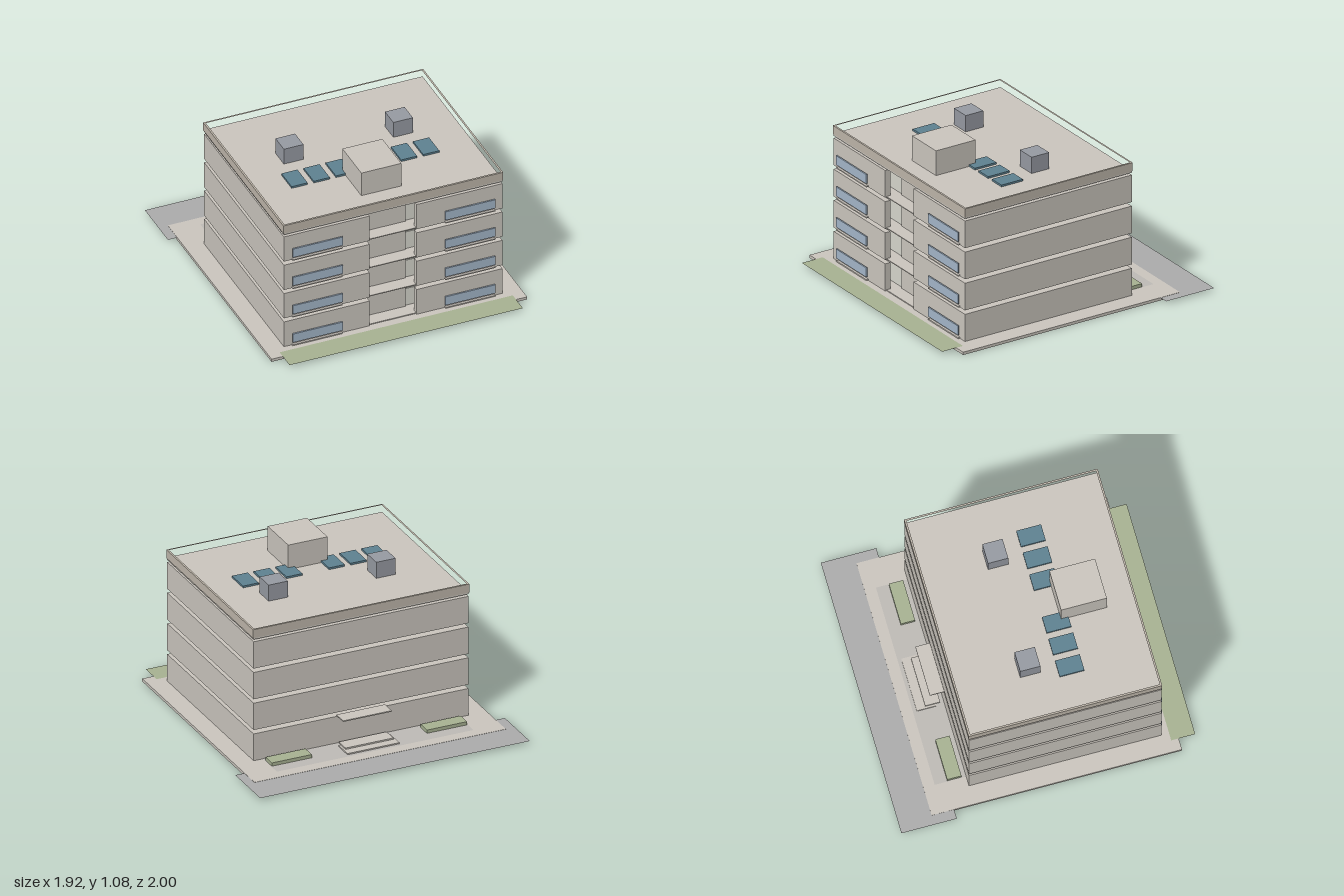
import * as THREE from 'three';

const mat = (color, side = THREE.FrontSide) =>
  new THREE.MeshStandardMaterial({ color, side });

export function createModel() {
  const model = new THREE.Group();
  const wall = mat(0xcdc8c0), parapetMat = mat(0xc0b8ac), pale = mat(0xdad9d0);
  const glass = mat(0xa6b9cc), skyGlass = mat(0x5f8393), metal = mat(0x989ca4);
  const green = mat(0xa9b494), lawnMat = mat(0xa9b494, THREE.DoubleSide);
  const roadMat = mat(0xaeaeae, THREE.DoubleSide), paving = mat(0xc0bdb8, THREE.DoubleSide);

  // Box given by its limits on each axis
  function box(name, [x0, x1], [y0, y1], [z0, z1], material, parent = model) {
    const mesh = new THREE.Mesh(new THREE.BoxGeometry(x1 - x0, y1 - y0, z1 - z0), material);
    mesh.position.set((x0 + x1) / 2, (y0 + y1) / 2, (z0 + z1) / 2);
    mesh.name = name;
    parent.add(mesh);
    return mesh;
  }
  // Same box on both sides of the centre line
  function pair(name, [x0, x1], y, z, material, parent = model) {
    box(name + 'Left', [x0, x1], y, z, material, parent);
    box(name + 'Right', [-x1, -x0], y, z, material, parent);
  }
  // Flat sheet lying on the ground
  function sheet(name, [x0, x1], y, [z0, z1], material) {
    const mesh = new THREE.Mesh(new THREE.PlaneGeometry(x1 - x0, z1 - z0), material);
    mesh.rotation.x = -Math.PI / 2;
    mesh.position.set((x0 + x1) / 2, y, (z0 + z1) / 2);
    mesh.name = name;
    model.add(mesh);
  }
  // Outline in x and z pushed upwards from y0 to y1
  function prism(name, points, hole, y0, y1, material, parent = model) {
    const toV = ([x, z]) => new THREE.Vector2(x, -z);
    const shape = new THREE.Shape(points.map(toV));
    if (hole) shape.holes.push(new THREE.Path(hole.map(toV)));
    const geo = new THREE.ExtrudeGeometry(shape, { depth: y1 - y0, bevelEnabled: false });
    geo.rotateX(-Math.PI / 2);
    const mesh = new THREE.Mesh(geo, material);
    mesh.position.y = y0;
    mesh.name = name;
    parent.add(mesh);
  }
  const rect = (x, z0, z1) => [[-x, z0], [x, z0], [x, z1], [-x, z1]];

  // Site
  box('groundSlab', [-0.895, 0.895], [0, 0.02], [-0.78, 0.89], wall);
  sheet('road', [-0.96, 0.96], 0.0185, [-1, -0.63], roadMat);
  sheet('lawn', [-0.817, 0.817], 0.0215, [0.84, 1], lawnMat);
  sheet('entrancePaving', [-0.7, 0.7], 0.0215, [-0.705, -0.49], paving);
  pair('planter', [0.41, 0.695], [0.02, 0.045], [-0.62, -0.525], green);
  box('lowerStep', [-0.185, 0.185], [0.02, 0.03], [-0.68, -0.55], wall);
  box('upperStep', [-0.17, 0.17], [0.03, 0.04], [-0.62, -0.52], wall);
  box('entranceCanopy', [-0.173, 0.173], [0.214, 0.222], [-0.59, -0.49], wall);

  // Storeys: a solid plan with a stair recess that widens behind the front wall
  const half = [[0.165, 0.79], [0.165, 0.75], [0.3, 0.75], [0.3, 0.66]];
  const plan = [[-0.765, -0.495], [0.765, -0.495], [0.765, 0.79], ...half,
    ...half.map(([x, z]) => [-x, z]).reverse(), [-0.765, 0.79]];
  for (let i = 0; i < 4; i++) {
    const storey = new THREE.Group();
    storey.name = 'storey' + (i + 1);
    model.add(storey);
    const y = 0.02 + i * 0.22, top = y + 0.192;
    prism('walls', plan, null, y, top, wall, storey);
    box('recessFloor', [-0.3, 0.3], [y, y + 0.006], [0.66, 0.78], wall, storey);
    box('stairPanel', [-0.133, 0.133], [y + 0.006, top], [0.66, 0.685], wall, storey);
    pair('recessPanel', [0.133, 0.3], [y + 0.006, y + 0.135], [0.66, 0.675], pale, storey);
    pair('recessTransom', [0.133, 0.3], [y + 0.135, top], [0.66, 0.67], pale, storey);
    pair('balconyLedge', [0.36, 0.71], [y + 0.002, y + 0.01], [0.79, 0.806], wall, storey);
    pair('balconyGlass', [0.36, 0.71], [y + 0.028, y + 0.093], [0.798, 0.808], glass, storey);
  }

  // Roof with parapet
  prism('roofDeck', rect(0.765, -0.495, 0.79), null, 0.888, 0.905, wall);
  prism('parapet', rect(0.77, -0.498, 0.793), rect(0.757, -0.485, 0.78), 0.9, 0.96, parapetMat);
  box('roofCore', [-0.14, 0.14], [0.905, 1.08], [0.295, 0.6], wall);
  pair('roofUnit', [0.315, 0.452], [0.905, 1.02], [-0.065, 0.07], metal);
  for (const x of [0.095, 0.25, 0.405])
    pair('skylight', [x, x + 0.112], [0.905, 0.918], [0.18, 0.345], skyGlass);

  return model;
}
